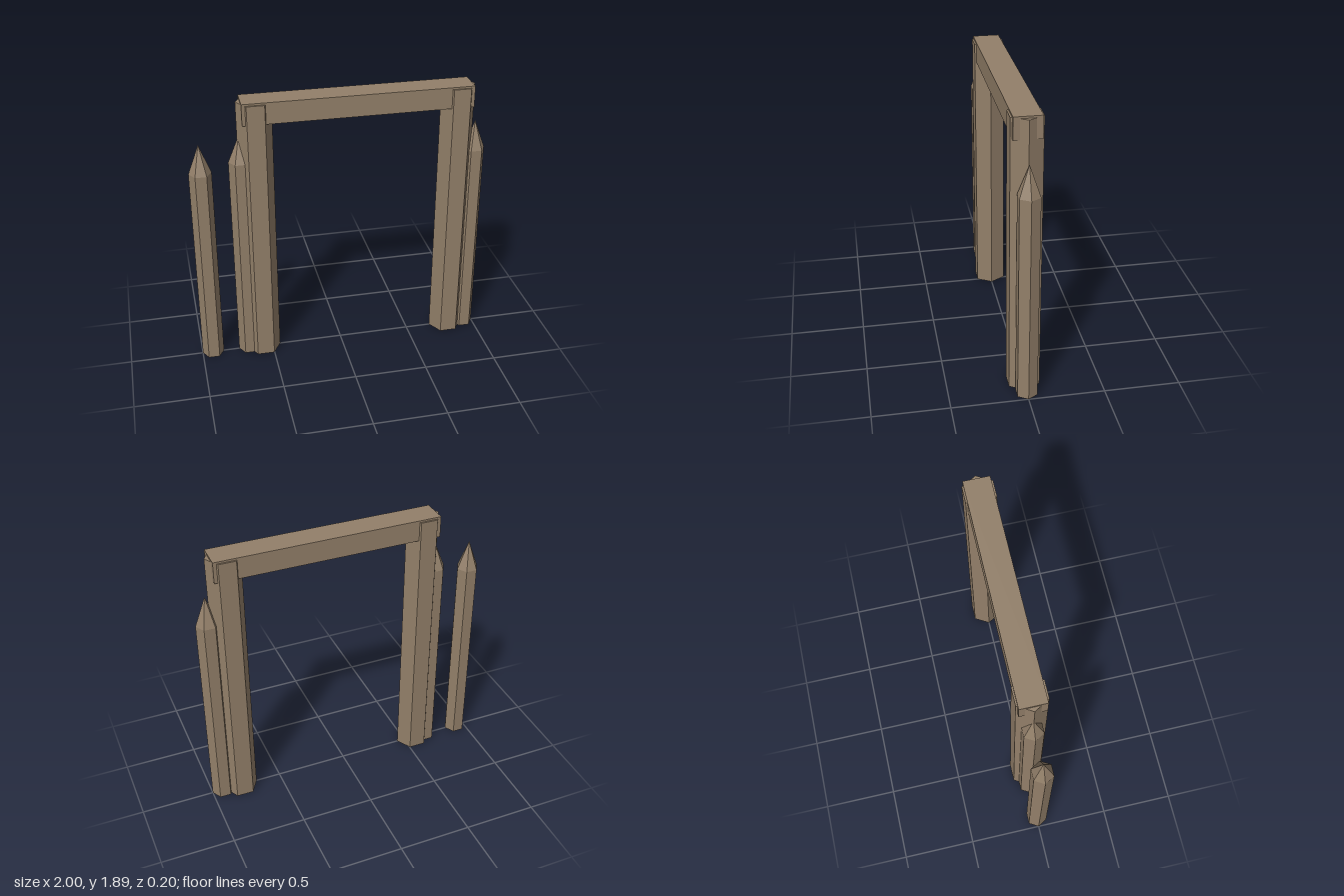
import * as THREE from 'three';

export function createModel() {
  const model = new THREE.Group();
  const wood = new THREE.MeshStandardMaterial({ color: 0x927f69 });
  wood.name = 'weathered wood';

  const add = (name, geometry, x, y) => {
    const mesh = new THREE.Mesh(geometry, wood);
    mesh.name = name;
    mesh.position.set(x, y, 0);
    model.add(mesh);
  };

  // Faceted six-sided timber standing on the ground, corners on +x and -x;
  // the top is flat when shoulder and tip are the same height
  const hexTimber = (radius, shoulder, tip) => {
    const profile = [[0, 0], [radius, 0], [radius, shoulder], [0, tip]]
      .map(([r, y]) => new THREE.Vector2(r, y));
    const geometry = new THREE.LatheGeometry(profile, 6, Math.PI / 2).toNonIndexed();
    geometry.computeVertexNormals();
    return geometry;
  };

  // Gate posts
  add('rightPost', hexTimber(0.116, 1.88, 1.88), -0.56, 0);
  add('leftPost', hexTimber(0.116, 1.88, 1.88), 0.79, 0);

  // Crossbeam let into the post tops
  add('crossbeam', new THREE.BoxGeometry(1.525, 0.145, 0.178), 0.115, 1.8205);

  // Pointed fence stakes
  add('outerStake', hexTimber(0.075, 1.41, 1.61), -0.925, 0);
  add('rightPostStake', hexTimber(0.075, 1.47, 1.65), -0.665, 0);
  add('leftPostStake', hexTimber(0.075, 1.415, 1.615), 0.925, 0);

  return model;
}
